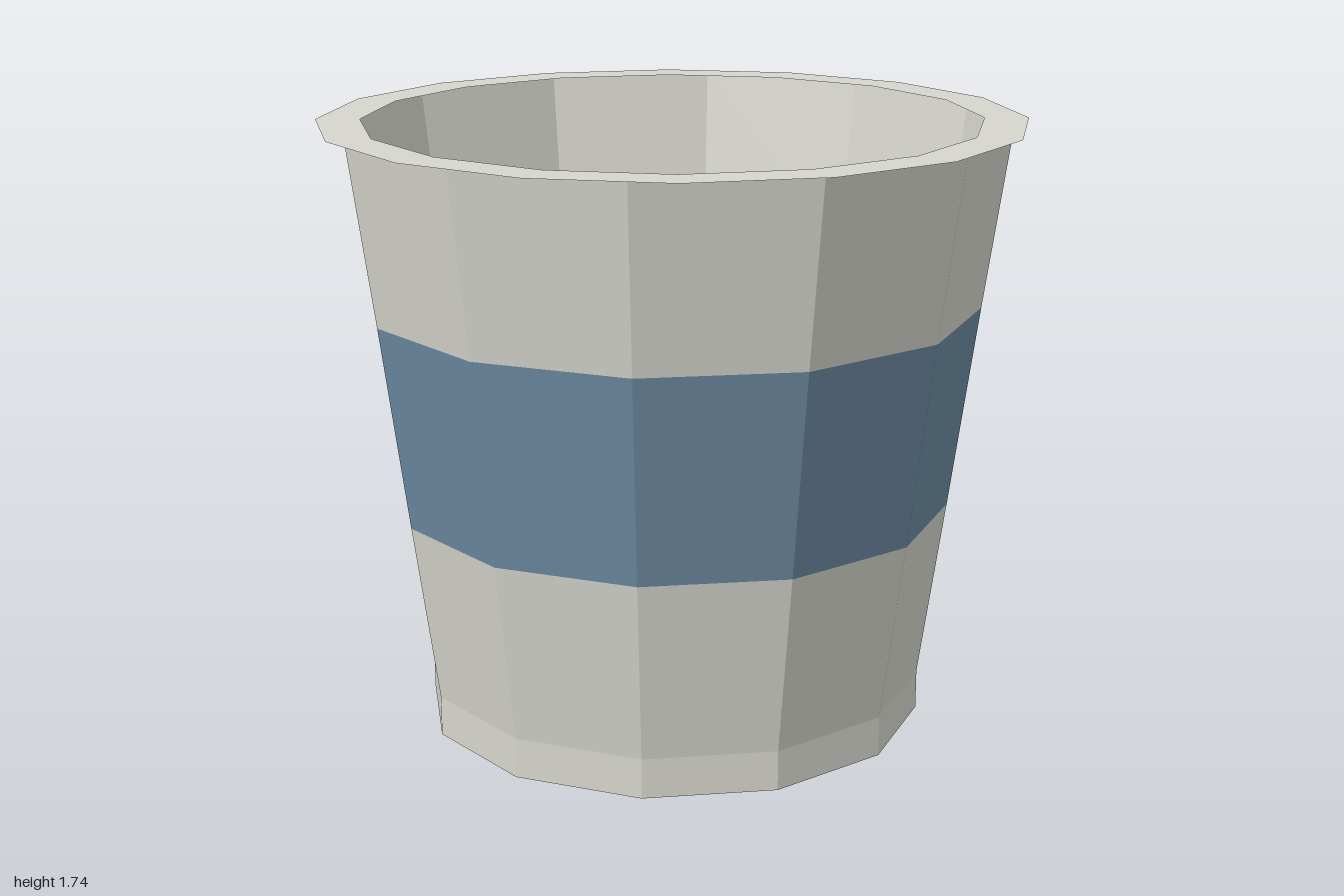
import * as THREE from 'three';

export function createModel() {
  const group = new THREE.Group();
  group.name = 'bucket';

  const grey = new THREE.MeshStandardMaterial({ color: 0xd6d6ce, flatShading: true, side: THREE.DoubleSide });
  grey.name = 'pale grey';
  const blue = new THREE.MeshStandardMaterial({ color: 0x6c8aa2, flatShading: true, side: THREE.DoubleSide });
  blue.name = 'slate blue';

  const SIDES = 12;
  const TURN = Math.PI / SIDES; // puts a flat side to the front
  const FLAT = Math.cos(TURN);  // flat-side distance to corner radius

  function add(name, geometry, material) {
    const mesh = new THREE.Mesh(geometry, material);
    mesh.name = name;
    group.add(mesh);
    return mesh;
  }

  // Thin open wall sections: name, bottom y, top y, flat-side distances, material
  const sections = [
    ['foot', 0, 0.115, 0.7, 0.7, grey],
    ['lowerWall', 0.115, 0.635, 0.7, 0.77, grey],
    ['stripe', 0.635, 1.22, 0.77, 0.846, blue],
    ['upperWall', 1.22, 1.74, 0.846, 0.917, grey],
  ];
  for (const [name, y0, y1, r0, r1, material] of sections) {
    const wall = new THREE.CylinderGeometry(r1 / FLAT, r0 / FLAT, y1 - y0, SIDES, 1, true, TURN);
    wall.translate(0, (y0 + y1) / 2, 0);
    add(name, wall, material);
  }

  // Floor
  const floor = new THREE.CircleGeometry(0.7 / FLAT, SIDES, TURN);
  floor.rotateX(-Math.PI / 2);
  add('floor', floor, grey);

  // Flat sixteen-sided rim
  const rim = new THREE.RingGeometry(0.875, 1, 16, 1);
  rim.rotateX(-Math.PI / 2);
  rim.translate(0, 1.74, 0);
  add('rim', rim, grey);

  return group;
}
